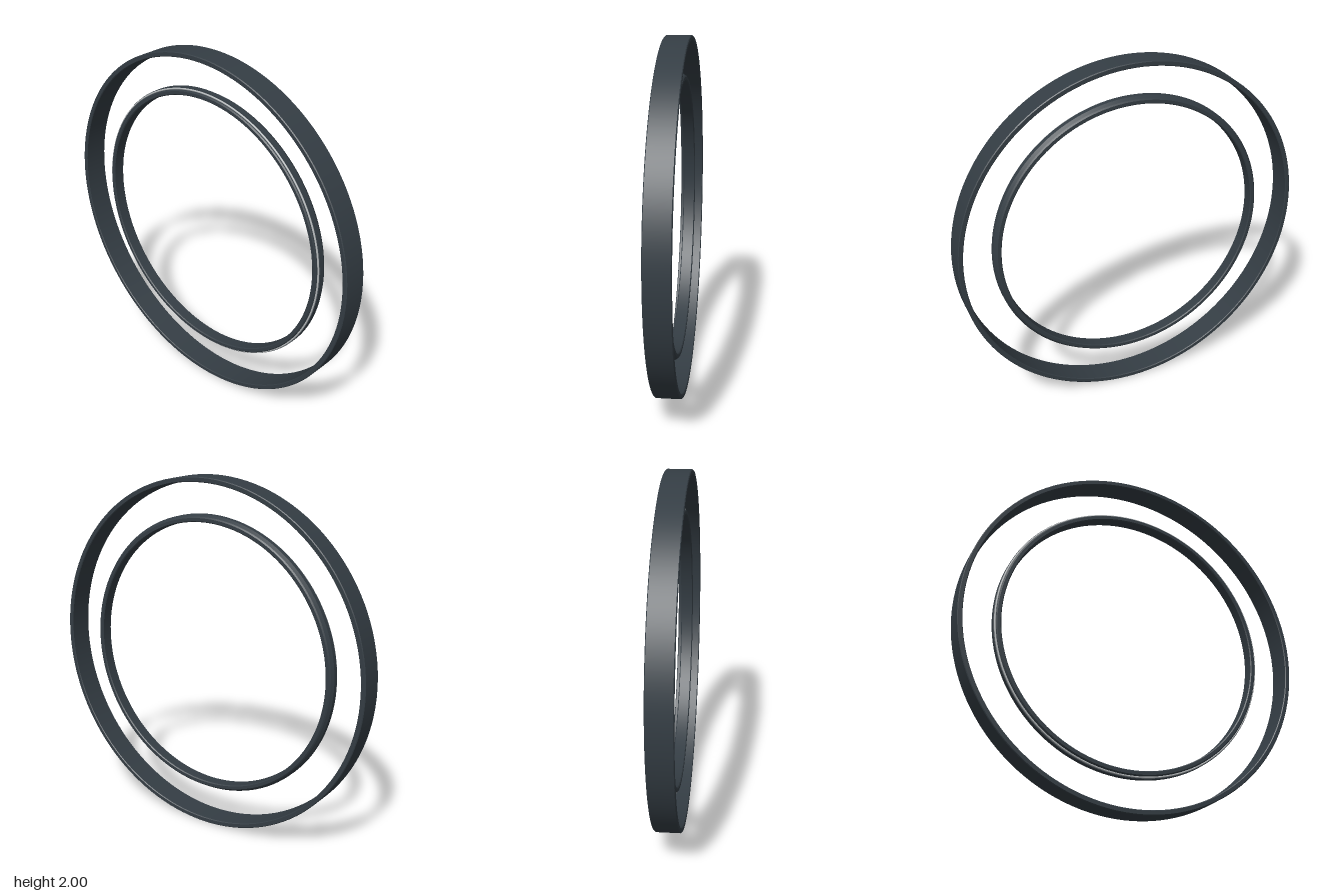
import * as THREE from 'three';
import { mergeGeometries } from 'three/addons/utils/BufferGeometryUtils.js';

const SEGMENTS = 128;

// Spin a closed [radius, z] section around z, keeping its corners sharp.
// Sections run towards +z on the outside and back on the inside.
function ringGeometry(section) {
  const bands = section.map((p, i) => {
    const q = section[(i + 1) % section.length];
    return new THREE.LatheGeometry([new THREE.Vector2(...p), new THREE.Vector2(...q)], SEGMENTS);
  });
  return mergeGeometries(bands).rotateX(Math.PI / 2);
}

export function createModel() {
  const darkMetal = new THREE.MeshStandardMaterial({ color: 0x343d44 });
  darkMetal.name = 'dark metal';
  const silver = new THREE.MeshStandardMaterial({ color: 0xb4b8ba });
  silver.name = 'silver';

  const model = new THREE.Group();
  model.name = 'concentricRings';

  function add(name, geometry, material) {
    const mesh = new THREE.Mesh(geometry, material);
    mesh.name = name;
    mesh.position.y = 1;
    model.add(mesh);
  }

  // Wide outer band with finely chamfered edges
  add('outerRing', ringGeometry([
    [1, -0.066], [1, 0.066], [0.996, 0.07], [0.976, 0.07],
    [0.972, 0.066], [0.972, -0.066], [0.976, -0.07], [0.996, -0.07],
  ]), darkMetal);

  // Narrower inner band, bevelled, with a slim lip behind the trim
  add('innerRing', ringGeometry([
    [0.785, -0.03], [0.796, -0.012], [0.796, 0.016], [0.784, 0.018],
    [0.784, 0.03], [0.778, 0.036], [0.761, 0.036],
    [0.756, 0.031], [0.756, -0.031], [0.761, -0.036], [0.778, -0.036],
  ]), darkMetal);

  // Fine bright trim around the front of the inner band
  add('innerTrim', new THREE.TorusGeometry(0.788, 0.005, 10, SEGMENTS).translate(0, 0, 0.022), silver);

  return model;
}
